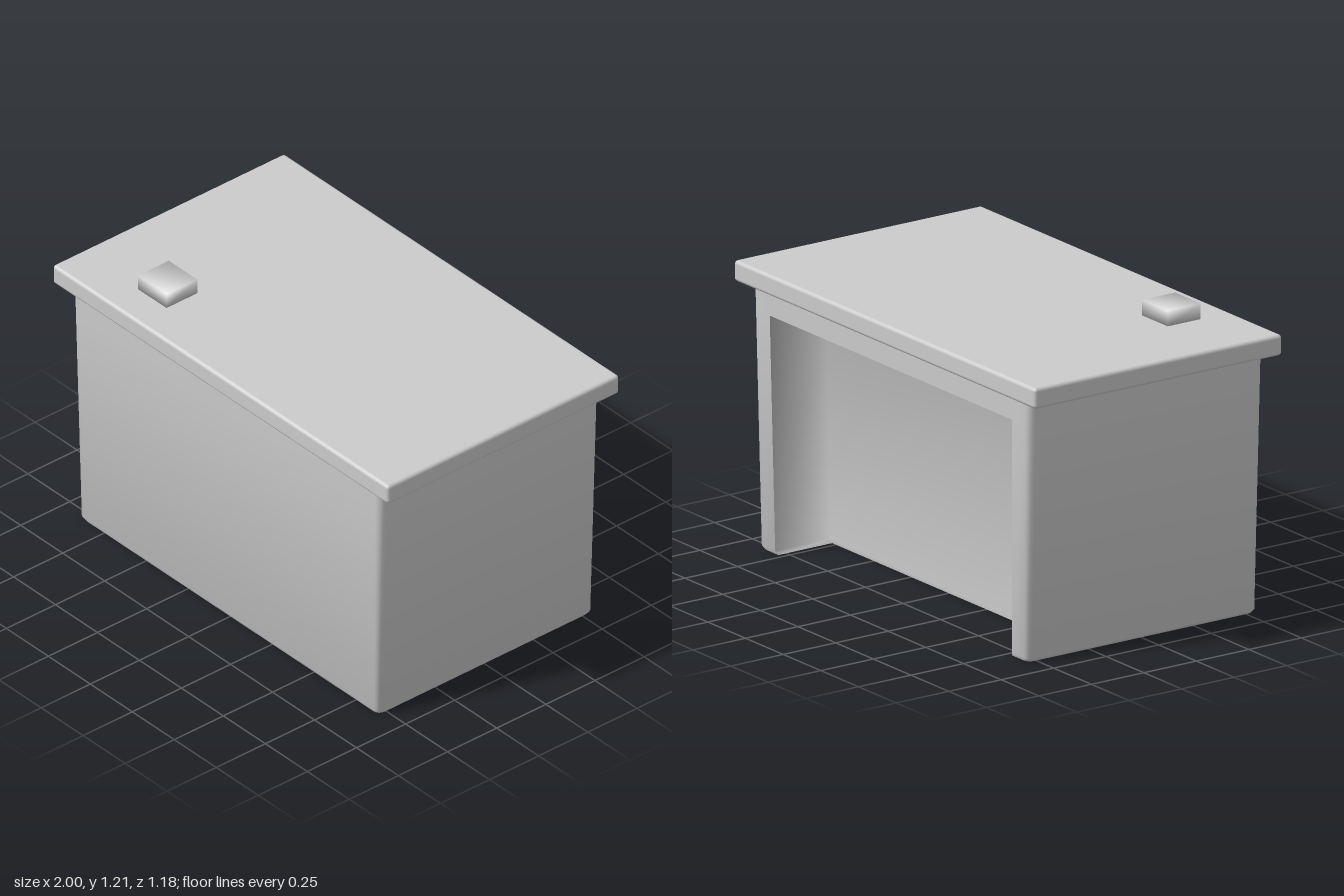
import * as THREE from 'three';
import { mergeGeometries, mergeVertices, toCreasedNormals } from 'three/addons/utils/BufferGeometryUtils.js';
import { RoundedBoxGeometry } from 'three/addons/geometries/RoundedBoxGeometry.js';

const HX = 0.895, HZ = 0.545;           // body half sizes at the floor
const BODY_TOP = 1.068, OPEN_TOP = 0.97, BEVEL = 0.015;
const OPEN_X = 0.785, OPEN_Z = -0.285;  // half width and back plane of the knee recess

// Vertical wall following a plan path of [x, z] points through several heights
function wall(path, heights) {
  const position = [], index = [];
  for (const y of heights) for (const [x, z] of path) position.push(x, y, z);
  const n = path.length;
  for (let j = 0; j < heights.length - 1; j++) {
    for (let i = 0; i < n - 1; i++) {
      const a = j * n + i, b = a + 1, c = b + n, d = a + n;
      index.push(a, b, c, a, c, d);
    }
  }
  const geo = new THREE.BufferGeometry();
  geo.setAttribute('position', new THREE.Float32BufferAttribute(position, 3));
  geo.setIndex(index);
  return geo;
}

// Flat cap facing down at height y
function cap(path, y) {
  const shape = new THREE.Shape(path.map(([x, z]) => new THREE.Vector2(x, z)));
  const geo = new THREE.ShapeGeometry(shape).rotateX(Math.PI / 2).translate(0, y, 0);
  geo.deleteAttribute('uv');
  geo.deleteAttribute('normal');
  return geo;
}

// Body widens slightly upwards and is bevelled at the floor
function taper(geo) {
  const p = geo.attributes.position;
  for (let i = 0; i < p.count; i++) {
    const y = p.getY(i), t = y / BODY_TOP;
    const inset = y < BEVEL / 2 ? 0.013 : 0;
    const x = p.getX(i), z = p.getZ(i);
    p.setX(i, x * (1 + 0.026 * t - inset));
    p.setZ(i, z * (1 + 0.026 * t - inset));
  }
  return geo;
}

// Outer plan from one side of the back opening round the front to the other
function outerPath(r = 0.03, steps = 4) {
  const path = [[-OPEN_X, -HZ]];
  const corners = [[-1, -1, 270], [-1, 1, 180], [1, 1, 90], [1, -1, 0]];
  for (const [sx, sz, start] of corners) {
    for (let i = 0; i <= steps; i++) {
      const a = THREE.MathUtils.degToRad(start - 90 * i / steps);
      path.push([sx * (HX - r) + r * Math.cos(a), sz * (HZ - r) + r * Math.sin(a)]);
    }
  }
  path.push([OPEN_X, -HZ]);
  return path;
}

export function createModel() {
  const group = new THREE.Group();
  const material = new THREE.MeshStandardMaterial({ color: 0xcccccc, side: THREE.DoubleSide });
  const add = (name, geo) => {
    const mesh = new THREE.Mesh(geo, material);
    mesh.name = name;
    group.add(mesh);
    return mesh;
  };

  const outer = outerPath();
  const recess = [[OPEN_X, -HZ], [OPEN_X, OPEN_Z], [-OPEN_X, OPEN_Z], [-OPEN_X, -HZ]];

  // Body: side and front walls, strip over the opening, underside
  const shell = mergeGeometries([
    wall(outer, [0, BEVEL, OPEN_TOP, BODY_TOP]),
    wall([recess[0], recess[3]], [OPEN_TOP, BODY_TOP]),
    cap([...outer, recess[1], recess[2]], 0),
  ]);
  add('body', toCreasedNormals(taper(shell), 0.9));

  // Knee recess, softly shaded across its inner corners
  const inside = mergeVertices(taper(mergeGeometries([
    wall(recess, [0, BEVEL, OPEN_TOP]),
    cap(recess, OPEN_TOP),
  ])));
  inside.computeVertexNormals();
  add('kneeRecess', inside);

  // Overhanging top
  add('deskTop', new RoundedBoxGeometry(2, 0.085, 1.18, 3, 0.015)).position.y = 1.1085;

  // Small block with soft shading on the top
  const block = new THREE.BoxGeometry(0.17, 0.065, 0.157);
  block.deleteAttribute('uv');
  block.deleteAttribute('normal');
  const softBlock = mergeVertices(block);
  softBlock.computeVertexNormals();
  add('topBlock', softBlock).position.set(-0.573, 1.182, 0.367);

  return group;
}
